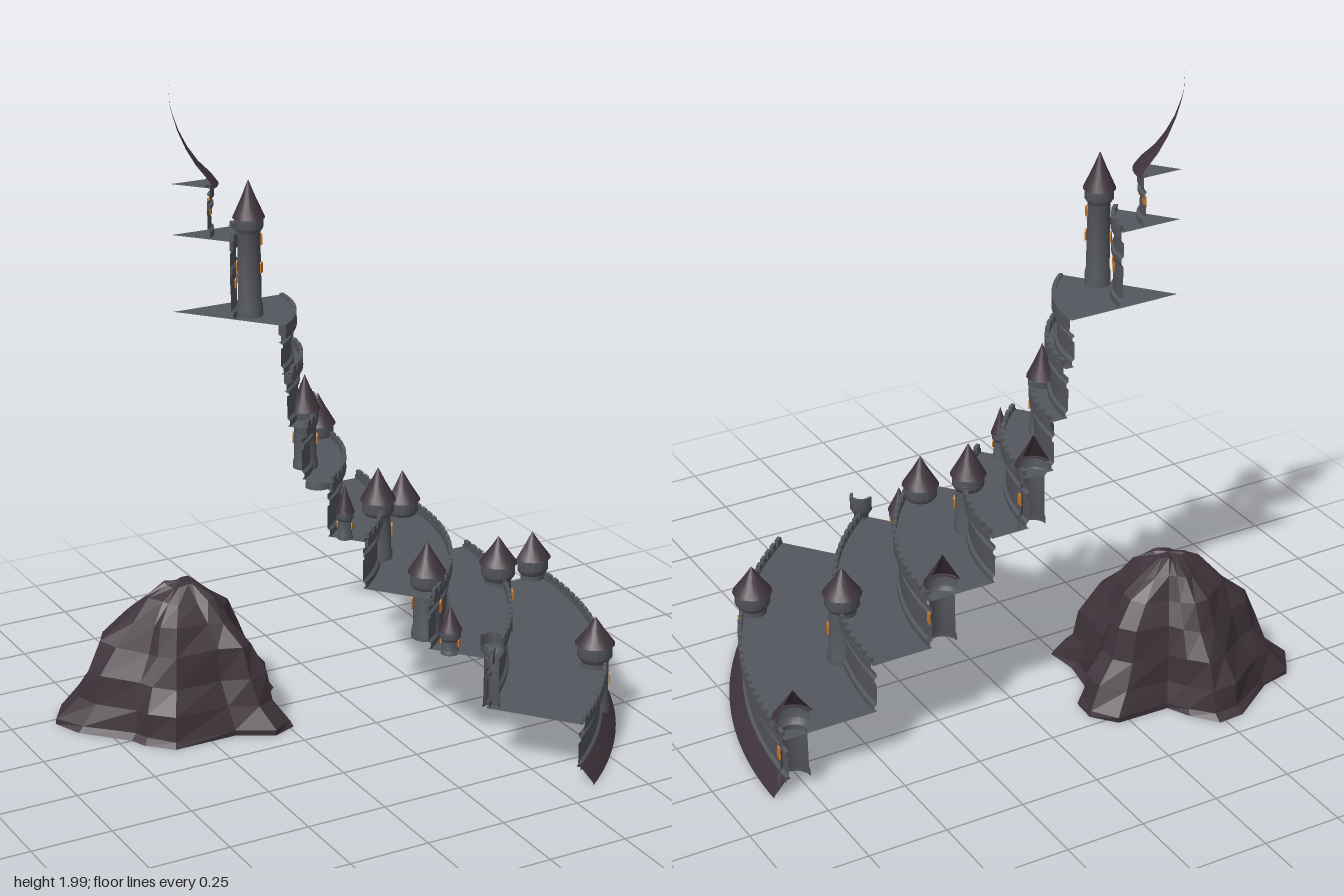
import * as THREE from 'three';
import { mergeGeometries, toCreasedNormals } from 'three/addons/utils/BufferGeometryUtils.js';

const ARC = Math.PI * 2 / 7;          // the city is one seventh of a full circle
const AXIS = [-0.48, -0.37];          // its vertical axis in x, z

const material = (name, color, flatShading = false) => {
  const m = new THREE.MeshStandardMaterial({ color, side: THREE.DoubleSide, flatShading });
  m.name = name;
  return m;
};

export function createModel() {
  const stone = material('stone', 0x55575f);
  const roof = material('roof', 0x40343c);
  const rock = material('rock', 0x3e333a, true);
  const glow = material('windowGlow', 0xc87a22);

  const model = new THREE.Group();
  const city = new THREE.Group();
  city.name = 'terracedCity';
  city.position.set(AXIS[0], 0, AXIS[1]);
  model.add(city);

  const add = (parent, name, geometry, mat) => {
    const mesh = new THREE.Mesh(geometry, mat);
    mesh.name = name;
    parent.add(mesh);
    return mesh;
  };
  const lathe = (points, segments, start, length) => toCreasedNormals(
    new THREE.LatheGeometry(points.map(p => new THREE.Vector2(...p)), segments, start, length), 0.6);
  // profile swept around the wedge, from +x towards +z
  const sweep = points => lathe(points, 28, Math.PI / 2 - ARC, ARC);

  const deck = (name, inner, outer, y) => {
    const g = new THREE.RingGeometry(inner, outer, 28, 1, -ARC, ARC);
    g.rotateX(-Math.PI / 2);
    g.translate(0, y, 0);
    add(city, name, g, stone);
  };

  const battlement = (radius, y) => {
    const count = Math.max(4, Math.round(radius * ARC / 0.042));
    const blocks = [];
    for (let i = 0; i < count; i++) {
      const g = new THREE.BoxGeometry(0.012, 0.018, radius * ARC / count * 0.62);
      g.translate(radius - 0.006, y - 0.009, 0);
      g.rotateY(-(i + 0.5) * ARC / count);
      blocks.push(g);
    }
    add(city, 'battlement', mergeGeometries(blocks), stone);
  };

  // thin arched pane facing outward at a given angle and distance
  const pane = (parent, distance, y, angle, w) => {
    const s = new THREE.Shape();
    s.moveTo(-w / 2, -w);
    s.lineTo(w / 2, -w);
    s.lineTo(w / 2, w * 0.4);
    s.absarc(0, w * 0.4, w / 2, 0, Math.PI);
    const g = new THREE.ExtrudeGeometry(s, { depth: 0.004, bevelEnabled: false, curveSegments: 4 });
    g.translate(0, 0, distance);
    g.rotateY(Math.PI / 2 - angle);
    g.translate(0, y, 0);
    add(parent, 'window', g, glow);
  };

  // ring walls: wall radius, bottom, top, battlements
  const levels = [
    [1.29, 0.05, 0.225, true], [1.0, 0.2, 0.385, true], [0.815, 0.36, 0.55, true],
    [0.605, 0.52, 0.70, true], [0.492, 0.67, 0.86, true], [0.41, 0.84, 1.02, true],
    [0.365, 1.0, 1.185, true], [0.347, 1.16, 1.315, false],
    [0.188, 1.31, 1.565, true], [0.117, 1.55, 1.71, false],
  ];
  levels.forEach(([r, y0, y1, crenels], i) => {
    const h = y1 - y0, R = r + (i > 7 ? 0.01 : 0.017);
    const next = levels[i + 1];
    const floor = next ? next[1] : y1 - 0.01;
    const lip = crenels ? y1 - 0.017 : y1;
    add(city, 'ringWall', sweep([
      [r + 0.008, y0], [r + 0.008, y0 + 0.018], [r, y0 + 0.025],
      [r, y0 + h * 0.5], [r + 0.007, y0 + h * 0.54], [r + 0.007, y0 + h * 0.6], [r, y0 + h * 0.63],
      [r, y1 - 0.055], [R, y1 - 0.043], [R, lip], [R - 0.012, lip], [R - 0.012, floor],
    ]), stone);
    if (crenels) battlement(R, y1);
    // terrace up to the next wall; the highest ones run to the axis
    deck('terrace', i < 7 ? next[0] : 0, R - 0.006, Math.min(floor, lip - 0.002));
  });

  // sloping dark footing and slender spire
  add(city, 'footing', sweep([[1.34, 0.012], [1.335, 0.022], [1.298, 0.062], [1.285, 0.062]]), roof);
  add(city, 'spire', sweep([[0.117, 1.7], [0.14, 1.7], [0.122, 1.725], [0.083, 1.765], [0.052, 1.81],
    [0.027, 1.86], [0.01, 1.91], [0.003, 1.94], [0.0008, 2.0]]), roof);

  // windows of the two keeps
  for (const [r, y, a, w] of [[0.188, 1.41, 0.67, 0.016], [0.188, 1.41, 0.38, 0.016],
    [0.117, 1.63, 0.7, 0.015], [0.117, 1.63, 0.06, 0.015]]) pane(city, r, y, a, w);

  // towers: distance, angle in degrees, foot, eave, tip, shaft radius, half cut by the wedge edge
  const towers = [
    [1.27, 0, 0.05, 0.275, 0.36, 0.045, true], [1.27, 32.4, 0.05, 0.275, 0.36, 0.045],
    [1.0, 17.8, 0.2, 0.43, 0.515, 0.044], [0.78, 0, 0.36, 0.57, 0.665, 0.042, true],
    [0.78, 45, 0.36, 0.57, 0.665, 0.042], [0.876, 50, 0.35, 0.425, 0.50, 0.026],
    [0.605, 29.7, 0.53, 0.72, 0.82, 0.04], [0.48, 0, 0.67, 0.88, 0.975, 0.04, true],
    [0.544, 50.5, 0.67, 0.755, 0.84, 0.021], [0.39, 36, 0.84, 1.025, 1.13, 0.034],
    [0.237, 44, 1.32, 1.62, 1.73, 0.035],
  ];
  for (const [d, deg, y0, y1, tip, r, half] of towers) {
    const a = deg * Math.PI / 180;
    const tower = new THREE.Group();
    tower.name = 'tower';
    tower.position.set(d * Math.cos(a), 0, d * Math.sin(a));
    city.add(tower);
    const span = half ? [8, -Math.PI / 2, Math.PI] : [16, 0, Math.PI * 2];
    const e = r * 1.38, h = y1 - y0;
    add(tower, 'shaft', lathe([[r * 1.12, y0], [r * 1.1, y0 + h * 0.1], [r, y0 + h * 0.16],
      [r * 0.95, y1 - r * 1.3], [r * 1.22, y1 - r * 0.9], [r * 1.22, y1]], ...span), stone);
    add(tower, 'roof', lathe([[r, y1 - 0.002], [e, y1 - 0.002], [e * 0.88, y1 + (tip - y1) * 0.1],
      [e * 0.42, y1 + (tip - y1) * 0.55], [0.0005, tip]], ...span), roof);
    const w = r * 0.5, wy = y0 + h * 0.5;
    pane(tower, r * 0.99, wy, half ? 0.15 : a, w);
    if (!half) pane(tower, r * 0.99, wy, a + Math.PI, w);
    if (d < 0.3) pane(tower, r * 0.99, y0 + h * 0.77, a - 0.5, w);
  }

  // roofless turret cut by the far edge of the wedge
  const turret = add(city, 'openTurret', lathe([[0.027, 0.2], [0.024, 0.24], [0.024, 0.37],
    [0.036, 0.39], [0.036, 0.435], [0.028, 0.435], [0.028, 0.4], [0, 0.4]], 8,
    Math.PI - ARC - Math.PI / 2, Math.PI), stone);
  turret.position.set(1.015 * Math.cos(ARC), 0, 1.015 * Math.sin(ARC));

  // rock hill: a lobed outline drawn in ring by ring up to the peak
  const outline = [[-0.865, -0.47], [-0.81, -0.555], [-0.715, -0.575], [-0.565, -0.675], [-0.48, -0.68],
    [-0.42, -0.605], [-0.385, -0.535], [-0.215, -0.53], [-0.155, -0.46], [-0.16, -0.38], [-0.23, -0.31],
    [-0.25, -0.2], [-0.235, -0.1], [-0.31, -0.07], [-0.42, -0.13], [-0.62, -0.13], [-0.69, -0.2],
    [-0.71, -0.25], [-0.83, -0.38]];
  const rings = [[1, 0.012], [0.96, 0.03], [0.86, 0.1], [0.75, 0.18], [0.63, 0.27], [0.48, 0.345],
    [0.3, 0.405], [0.13, 0.442], [0, 0.45]];
  const n = outline.length, verts = [], faces = [];
  rings.forEach(([k, y], j) => outline.forEach(([x, z], i) => {
    const dx = x - AXIS[0], dz = z - AXIS[1], len = Math.hypot(dx, dz);
    const round = 1 + (0.33 / len - 1) * (1 - k) * 0.5;      // lobes soften with height
    const wobble = j > 0 && j < 8 ? Math.sin(i * 5.3 + j * 2.1) : 0;
    const s = k * round * (1 + wobble * 0.05);
    verts.push(AXIS[0] + dx * s, y + (j > 1 ? wobble * 0.007 : 0), AXIS[1] + dz * s);
    if (j < rings.length - 1) {
      const a = j * n + i, b = j * n + (i + 1) % n;
      faces.push(a, a + n, b, b, a + n, b + n);
    }
  }));
  const hill = new THREE.BufferGeometry();
  hill.setAttribute('position', new THREE.Float32BufferAttribute(verts, 3));
  hill.setIndex(faces);
  hill.computeVertexNormals();
  add(model, 'rockHill', hill, rock);

  return model;
}
